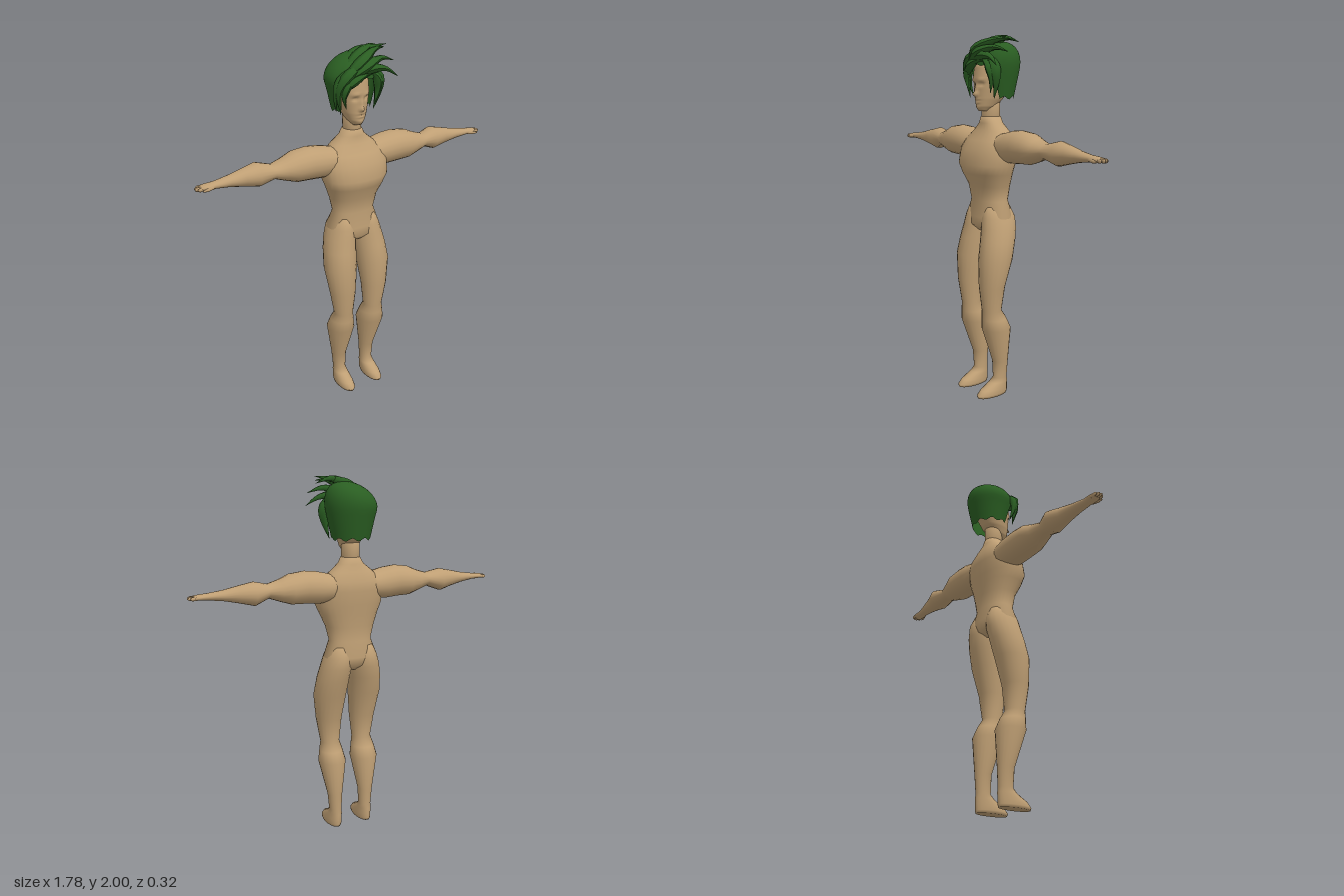
import * as THREE from 'three';

// Loft through elliptical rings [t, aMin, aMax, bMin, bMax].
// axis 'y': t = y, a = x, b = z.  axis 'x': t = x, a = y, b = z.
function loft(rings, axis = 'y', segs = 20, p = 1) {
  const pos = [], idx = [];
  const put = (t, a, b) => (axis === 'y' ? pos.push(a, t, b) : pos.push(t, a, b));
  const pw = (v) => Math.sign(v) * Math.abs(v) ** p;
  for (const [t, a0, a1, b0, b1] of rings) {
    for (let j = 0; j < segs; j++) {
      const th = (j / segs) * Math.PI * 2;
      put(t, (a0 + a1) / 2 + ((a1 - a0) / 2) * pw(Math.cos(th)), (b0 + b1) / 2 + ((b1 - b0) / 2) * pw(Math.sin(th)));
    }
  }
  const n = rings.length, last = rings[n - 1];
  const flip = (axis === 'x') !== (last[0] < rings[0][0]);
  const tri = (a, b, c) => (flip ? idx.push(a, c, b) : idx.push(a, b, c));
  for (let i = 0; i < n - 1; i++) {
    for (let j = 0; j < segs; j++) {
      const k = (j + 1) % segs, a = i * segs + j, b = i * segs + k;
      tri(a, a + segs, b);
      tri(b, a + segs, b + segs);
    }
  }
  // end caps
  for (const [r, base] of [[rings[0], 0], [last, (n - 1) * segs]]) {
    const c = pos.length / 3;
    put(r[0], (r[1] + r[2]) / 2, (r[3] + r[4]) / 2);
    for (let j = 0; j < segs; j++) {
      const a = base + j, b = base + ((j + 1) % segs);
      base ? tri(c, b, a) : tri(c, a, b);
    }
  }
  const g = new THREE.BufferGeometry();
  g.setAttribute('position', new THREE.Float32BufferAttribute(pos, 3));
  g.setIndex(idx);
  g.computeVertexNormals();
  return g;
}

// Insert evenly spaced rings between the given ones
function refine(rings, steps) {
  const out = [];
  for (let i = 0; i < rings.length - 1; i++)
    for (let s = 0; s < steps; s++)
      out.push(rings[i].map((v, k) => THREE.MathUtils.lerp(v, rings[i + 1][k], s / steps)));
  out.push(rings[rings.length - 1]);
  return out;
}

// Head with nose, brow, eye sockets, lips and chin pushed out of the front
function headGeometry() {
  const rings = [
    [1.605, -0.025, 0.025, 0.02, 0.072], [1.63, -0.046, 0.046, -0.03, 0.086],
    [1.67, -0.064, 0.064, -0.07, 0.09], [1.72, -0.077, 0.077, -0.1, 0.092],
    [1.78, -0.083, 0.083, -0.11, 0.097], [1.84, -0.08, 0.08, -0.11, 0.09], [1.9, -0.055, 0.055, -0.08, 0.055],
  ];
  const g = loft(refine(rings, 7), 'y', 56, 0.92);
  const bumps = [ // x, y, width, height, depth
    [0, 1.693, 0.011, 0.013, 0.024], [0, 1.72, 0.009, 0.025, 0.012],
    [0.035, 1.768, 0.022, 0.008, 0.007], [-0.035, 1.768, 0.022, 0.008, 0.007],
    [0.032, 1.747, 0.014, 0.009, -0.014], [-0.032, 1.747, 0.014, 0.009, -0.014],
    [0, 1.667, 0.02, 0.005, 0.006], [0, 1.652, 0.018, 0.005, 0.006],
    [0, 1.66, 0.022, 0.003, -0.006], [0, 1.62, 0.018, 0.012, 0.006],
  ];
  const P = g.attributes.position;
  for (let i = 0; i < P.count; i++) {
    if (P.getZ(i) < 0.03) continue;
    let dz = 0;
    for (const [x, y, w, h, d] of bumps)
      dz += d * Math.exp(-(((P.getX(i) - x) / w) ** 2) - ((P.getY(i) - y) / h) ** 2);
    P.setZ(i, P.getZ(i) + dz);
  }
  g.computeVertexNormals();
  return g;
}

// Hair shell: open over the face, ragged hem, crown leaning up to the left
function hairCapGeometry() {
  const segs = 60, rows = 14, ss = THREE.MathUtils.smoothstep;
  const pos = [], idx = [];
  for (let i = 0; i <= rows; i++) {
    const v = Math.sin((i / rows) * Math.PI / 2);
    for (let j = 0; j < segs; j++) {
      const th = (j / segs) * Math.PI * 2, c = Math.cos(th), s = Math.sin(th);
      const hem = 1.675 + 0.17 * ss(s, 0.4, 0.72) + 0.008 * Math.sin(9 * th);
      const y = THREE.MathUtils.lerp(hem, 1.965, v);
      const r = y < 1.84 ? 1 - (1.84 - y) * 1.6 : Math.max(0, 1 - ((y - 1.84) / 0.125) ** 2.4) ** 0.5;
      const x = 0.142 * r * c;
      pos.push(x + 0.008, y + 0.22 * x * ss(y, 1.75, 1.95), -0.025 + 0.132 * r * s);
    }
  }
  for (let i = 0; i < rows; i++) {
    for (let j = 0; j < segs; j++) {
      const a = i * segs + j, b = i * segs + ((j + 1) % segs);
      idx.push(a, a + segs, b, b, a + segs, b + segs);
    }
  }
  const g = new THREE.BufferGeometry();
  g.setAttribute('position', new THREE.Float32BufferAttribute(pos, 3));
  g.setIndex(idx);
  g.computeVertexNormals();
  return g;
}

// Pointed lock of hair along a curve
function lockGeometry(points, radius) {
  const curve = new THREE.CatmullRomCurve3(points.map((p) => new THREE.Vector3(...p)));
  const n = 10, sides = 6;
  const g = new THREE.TubeGeometry(curve, n, radius, sides);
  const P = g.attributes.position, v = new THREE.Vector3();
  for (let i = 0; i < P.count; i++) {
    const t = Math.floor(i / (sides + 1)) / n, c = curve.getPointAt(t);
    const k = Math.min(1, 0.4 + t * 2) * Math.min(1, (1 - t) * 1.7 + 0.02);
    v.fromBufferAttribute(P, i).sub(c).multiplyScalar(k).add(c);
    P.setXYZ(i, v.x, v.y, v.z);
  }
  g.computeVertexNormals();
  return g;
}

export function createModel() {
  const model = new THREE.Group();
  const skin = new THREE.MeshStandardMaterial({ color: 0xbf9f74 });
  const green = new THREE.MeshStandardMaterial({ color: 0x2a5e22, side: THREE.DoubleSide });
  skin.name = 'skin';
  green.name = 'green hair';
  const add = (name, geometry, material = skin) => {
    const m = new THREE.Mesh(geometry, material);
    m.name = name;
    model.add(m);
  };

  // Torso, from the crotch to the base of the neck
  add('torso', loft([
    [0.95, -0.06, 0.06, -0.04, 0.07], [0.98, -0.13, 0.13, -0.08, 0.1], [1.03, -0.155, 0.155, -0.095, 0.1],
    [1.12, -0.12, 0.12, -0.075, 0.09], [1.2, -0.14, 0.14, -0.08, 0.1], [1.27, -0.168, 0.168, -0.088, 0.135],
    [1.32, -0.19, 0.19, -0.095, 0.15], [1.4, -0.195, 0.195, -0.105, 0.13], [1.45, -0.175, 0.175, -0.1, 0.1],
    [1.5, -0.12, 0.12, -0.08, 0.065], [1.54, -0.07, 0.07, -0.062, 0.056], [1.575, -0.05, 0.05, -0.055, 0.052],
  ], 'y', 28, 0.88));
  add('neck', loft([[1.54, -0.048, 0.048, -0.052, 0.052], [1.66, -0.05, 0.05, -0.054, 0.05]], 'y', 20));
  add('head', headGeometry());

  // Limbs, mirrored
  const leg = [ // y, inner x, outer x, back z, front z
    [0, 0.055, 0.138, -0.038, 0.155], [0.015, 0.05, 0.142, -0.042, 0.16], [0.04, 0.052, 0.14, -0.042, 0.135],
    [0.075, 0.056, 0.134, -0.042, 0.07], [0.1, 0.06, 0.13, -0.038, 0.045], [0.2, 0.055, 0.14, -0.042, 0.05],
    [0.4, 0.022, 0.18, -0.05, 0.118], [0.46, 0.034, 0.168, -0.022, 0.12], [0.51, 0.045, 0.155, 0.01, 0.12],
    [0.65, 0.03, 0.18, -0.005, 0.138], [0.8, 0.014, 0.2, -0.05, 0.14], [0.9, 0.006, 0.188, -0.078, 0.122],
    [0.97, -0.002, 0.172, -0.094, 0.108], [1.03, 0.0, 0.153, -0.097, 0.1], [1.09, 0.02, 0.125, -0.07, 0.08],
  ];
  const arm = [ // x, lower y, upper y, back z, front z
    [0.04, 1.4, 1.5, -0.06, 0.05], [0.13, 1.34, 1.492, -0.09, 0.08], [0.2, 1.335, 1.508, -0.095, 0.085],
    [0.27, 1.34, 1.515, -0.092, 0.088], [0.35, 1.343, 1.505, -0.093, 0.085], [0.41, 1.362, 1.48, -0.075, 0.068],
    [0.475, 1.385, 1.46, -0.055, 0.05], [0.555, 1.355, 1.48, -0.088, 0.048], [0.63, 1.373, 1.465, -0.062, 0.036],
    [0.71, 1.39, 1.447, -0.045, 0.03], [0.79, 1.4, 1.435, -0.029, 0.028], [0.83, 1.402, 1.432, -0.032, 0.034],
    [0.86, 1.404, 1.428, -0.028, 0.028],
  ];
  for (const [side, s] of [['left', 1], ['right', -1]]) {
    const mirrorX = ([y, a, b, c, d]) => (s > 0 ? [y, a, b, c, d] : [y, -b, -a, c, d]);
    const mirrorT = ([x, ...r]) => [s * x, ...r];
    add(side + 'Leg', loft(leg.map(mirrorX), 'y', 20));
    add(side + 'Arm', loft(arm.map(mirrorT), 'x', 18));
    [-0.021, -0.007, 0.007, 0.021].forEach((z, i) => {
      const tip = [0.879, 0.888, 0.89, 0.88][i];
      add(side + 'Finger' + (i + 1), loft([
        [0.84, 1.406, 1.426, z - 0.0075, z + 0.0075], [tip - 0.008, 1.404, 1.424, z - 0.007, z + 0.007],
        [tip, 1.409, 1.419, z - 0.003, z + 0.003],
      ].map(mirrorT), 'x', 8));
    });
    add(side + 'Thumb', loft([
      [0.8, 1.405, 1.425, 0.015, 0.03], [0.835, 1.402, 1.42, 0.024, 0.04], [0.86, 1.405, 1.414, 0.031, 0.038],
    ].map(mirrorT), 'x', 8));
    add(side + 'Ear', new THREE.SphereGeometry(1, 10, 8).scale(0.012, 0.03, 0.018).translate(s * 0.084, 1.73, -0.01));
  }

  // Hair: shell, swept fringe, side locks and loose points
  add('hairCap', hairCapGeometry(), green);
  const locks = [
    [0.03, [-0.1, 1.85, 0.07], [0, 1.93, 0.09], [0.11, 1.975, 0.04], [0.2, 1.975, 0]],
    [0.028, [-0.08, 1.88, 0.03], [0.02, 1.955, 0.03], [0.12, 1.985, -0.01], [0.21, 1.96, -0.03]],
    [0.026, [-0.05, 1.92, -0.02], [0.05, 1.965, -0.02], [0.13, 1.985, 0.02], [0.19, 1.995, 0.03]],
    [0.028, [-0.08, 1.85, 0.09], [0.03, 1.91, 0.1], [0.13, 1.935, 0.07], [0.225, 1.91, 0.05]],
    [0.024, [-0.03, 1.87, 0.1], [0.06, 1.895, 0.1], [0.14, 1.885, 0.1], [0.21, 1.84, 0.115]],
    [0.024, [-0.11, 1.78, 0.075], [-0.06, 1.835, 0.098], [0.02, 1.87, 0.1], [0.11, 1.87, 0.08]],
    [0.03, [0.02, 1.92, 0.08], [-0.07, 1.875, 0.09], [-0.12, 1.8, 0.07], [-0.105, 1.67, 0.06]],
    [0.024, [-0.05, 1.9, 0.06], [-0.115, 1.83, 0.06], [-0.128, 1.76, 0.05], [-0.115, 1.68, 0.03]],
    [0.02, [-0.05, 1.86, 0.09], [-0.09, 1.81, 0.095], [-0.1, 1.76, 0.085], [-0.085, 1.7, 0.08]],
    [0.03, [0.08, 1.9, 0.07], [0.125, 1.83, 0.06], [0.125, 1.76, 0.055], [0.1, 1.67, 0.05]],
    [0.024, [0.06, 1.88, 0.09], [0.1, 1.84, 0.085], [0.11, 1.78, 0.075], [0.095, 1.7, 0.07]],
  ];
  locks.forEach(([r, ...pts], i) => add('hairLock' + (i + 1), lockGeometry(pts, r), green));

  return model;
}
